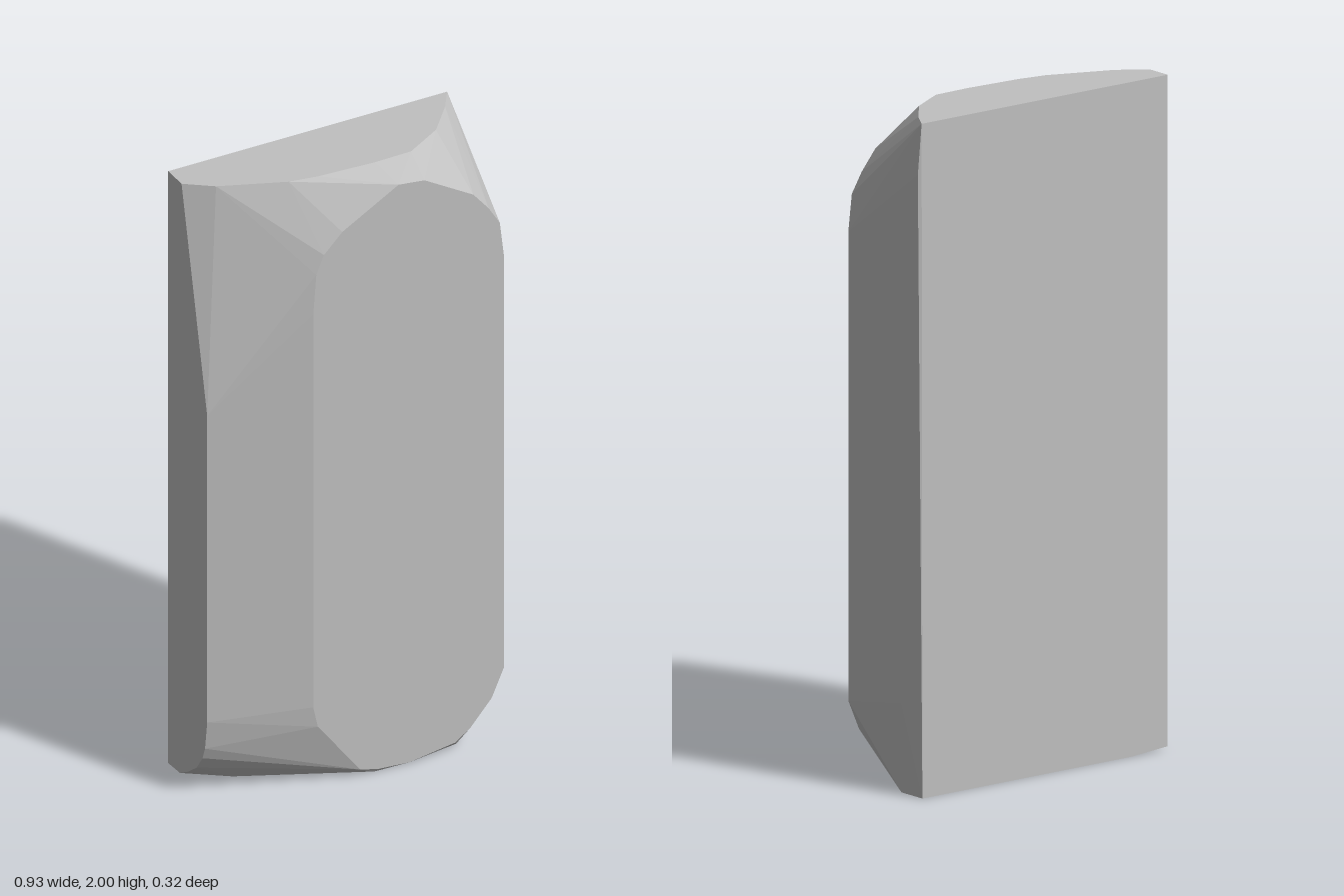
import * as THREE from 'three';
import { ConvexGeometry } from 'three/addons/geometries/ConvexGeometry.js';

export function createModel() {
  const group = new THREE.Group();
  const stone = new THREE.MeshStandardMaterial({ color: 0xc0c0c0 });
  stone.name = 'pale grey stone';
  stone.flatShading = true;

  const points = [];
  const add = (list, place) => list.forEach(([a, b]) => points.push(new THREE.Vector3(...place(a, b))));

  // Flat front face outline (x, y)
  add([
    [0.46, 1.62], [0.447, 1.73], [0.41, 1.79], [0.36, 1.85], [0.2, 1.945], [0.115, 1.955],
    [-0.07, 1.85], [-0.13, 1.79], [-0.155, 1.73], [-0.165, 1.6], [-0.165, 0.28], [-0.15, 0.21],
    [-0.01, 0.025], [0.05, 0.01], [0.15, 0.003], [0.3, 0.025], [0.35, 0.06], [0.42, 0.14], [0.46, 0.23],
  ], (x, y) => [x, y, 0.16]);

  // Top face outline (x, z)
  add([
    [-0.465, -0.16], [0.45, -0.16], [0.405, -0.09], [0.32, 0.01], [0.2, 0.08], [0.08, 0.083],
    [-0.1, 0.073], [-0.19, 0.058], [-0.385, -0.02], [-0.465, -0.08],
  ], (x, z) => [x, 2, z]);

  // Bottom face outline (x, z)
  add([
    [0.447, -0.16], [0.447, -0.065], [0.32, 0.13], [0.04, 0.152], [-0.33, -0.02], [-0.33, -0.16],
  ], (x, z) => [x, 0, z]);

  // Narrow side at -x, rounded off at the foot (z, y)
  add([
    [0.073, 1.3], [0.073, 0.27], [0.06, 0.175], [0.045, 0.135], [0.01, 0.085],
    [-0.04, 0.045], [-0.09, 0.014], [-0.16, 0.01],
  ], (z, y) => [-0.465, y, z]);

  // Slightly bowed side at +x (z, y)
  add([[-0.155, 1.85], [-0.08, 0.27]], (z, y) => [0.46, y, z]);

  const slab = new THREE.Mesh(new ConvexGeometry(points), stone);
  slab.name = 'facetedStoneSlab';
  group.add(slab);
  return group;
}
